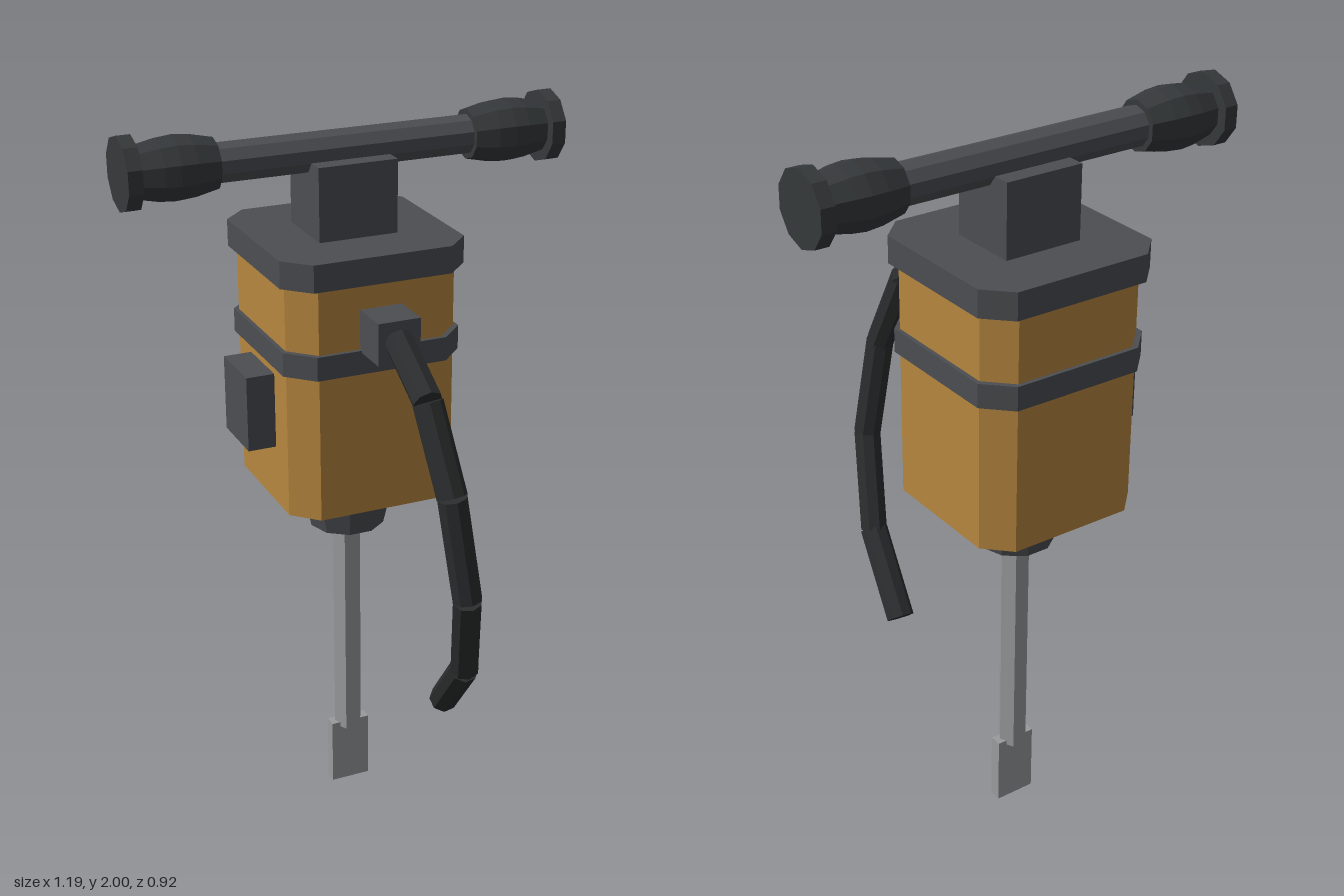
import * as THREE from 'three';

const AXIS_Z = -0.205; // depth of the tool's main vertical axis
const paint = (color) => new THREE.MeshStandardMaterial({ color, flatShading: true });

export function createModel() {
  const model = new THREE.Group();
  const yellow = paint(0xb8873f), dark = paint(0x4c4e52), rubber = paint(0x36393b);
  const hoseMat = paint(0x2b2d2e), steel = paint(0x9a9b9d);

  const add = (name, geometry, material, x, y, z, parent = model) => {
    const mesh = new THREE.Mesh(geometry, material);
    mesh.name = name;
    mesh.position.set(x, y, z);
    parent.add(mesh);
    return mesh;
  };

  // Square block with chamfered vertical edges, from y0 to y1
  const chamferedBlock = (name, half, cut, y0, y1, material) => {
    const a = half, b = half - cut;
    const outline = [[a, -b], [a, b], [b, a], [-b, a], [-a, b], [-a, -b], [-b, -a], [b, -a]];
    const shape = new THREE.Shape(outline.map(([x, y]) => new THREE.Vector2(x, y)));
    const geometry = new THREE.ExtrudeGeometry(shape, { depth: y1 - y0, bevelEnabled: false });
    geometry.rotateX(-Math.PI / 2);
    return add(name, geometry, material, 0, y0, AXIS_Z);
  };

  // Faceted turned part with a corner facing +x; profile is [radius, height]
  const turned = (profile, sides) => {
    const points = profile.map(([r, y]) => new THREE.Vector2(r, y));
    return new THREE.LatheGeometry(points, sides, Math.PI / 2);
  };

  // Motor housing
  chamferedBlock('housing', 0.235, 0.065, 0.99, 1.64, yellow);
  chamferedBlock('housingBand', 0.246, 0.067, 1.388, 1.452, dark);
  chamferedBlock('topPlate', 0.253, 0.065, 1.625, 1.697, dark);
  add('sideBox', new THREE.BoxGeometry(0.1, 0.206, 0.17), dark, -0.262, 1.256, AXIS_Z);
  add('hoseSocket', new THREE.BoxGeometry(0.115, 0.112, 0.13), dark, 0, 1.502, 0.078);

  // Handlebar with a mirrored grip and end cap on each side
  add('handleMount', new THREE.BoxGeometry(0.216, 0.2, 0.194), dark, 0, 1.79, AXIS_Z);
  const handle = new THREE.Group();
  handle.name = 'handlebar';
  handle.position.set(0, 1.905, AXIS_Z);
  handle.rotation.z = -Math.PI / 2;
  model.add(handle);
  add('bar', new THREE.CylinderGeometry(0.052, 0.052, 1.12, 10, 1, false, Math.PI / 2), dark, 0, 0, 0, handle);
  const gripProfile = [[0, 0.347], [0.066, 0.347], [0.08, 0.41], [0.084, 0.455], [0.08, 0.495], [0.066, 0.558], [0, 0.558]];
  for (const side of [1, -1]) {
    const end = new THREE.Group();
    end.name = side > 0 ? 'leftGripEnd' : 'rightGripEnd';
    if (side < 0) end.rotation.x = Math.PI;
    handle.add(end);
    add('grip', turned(gripProfile, 10), rubber, 0, 0, 0, end);
    add('gripCap', new THREE.CylinderGeometry(0.095, 0.095, 0.038, 10, 1, false, Math.PI / 2), rubber, 0, 0.574, 0, end);
  }

  // Chuck, rod and flat chisel blade
  add('chuck', turned([[0, 0.855], [0.105, 0.855], [0.122, 0.93], [0.108, 0.995], [0, 0.995]], 10), dark, 0, 0, AXIS_Z);
  add('rod', new THREE.CylinderGeometry(0.041, 0.041, 0.7, 6, 1, false, Math.PI / 2), steel, 0, 0.533, AXIS_Z);
  add('chiselBlade', new THREE.BoxGeometry(0.114, 0.197, 0.034), steel, 0, 0.0985, AXIS_Z);

  // Hose made of straight segments
  const path = [
    [0, 1.507, 0.135], [0, 1.405, 0.308], [0.024, 1.185, 0.402],
    [0.063, 0.9, 0.421], [0.106, 0.638, 0.33], [0.132, 0.438, 0.157],
  ].map((p) => new THREE.Vector3(...p));
  const hose = new THREE.Group();
  hose.name = 'hose';
  model.add(hose);
  for (let i = 0; i < path.length - 1; i++) {
    const along = path[i + 1].clone().sub(path[i]);
    const middle = path[i].clone().add(path[i + 1]).multiplyScalar(0.5);
    const segment = add('hoseSegment', new THREE.CylinderGeometry(0.039, 0.039, along.length(), 8), hoseMat, middle.x, middle.y, middle.z, hose);
    segment.quaternion.setFromUnitVectors(new THREE.Vector3(0, 1, 0), along.normalize());
  }

  return model;
}
